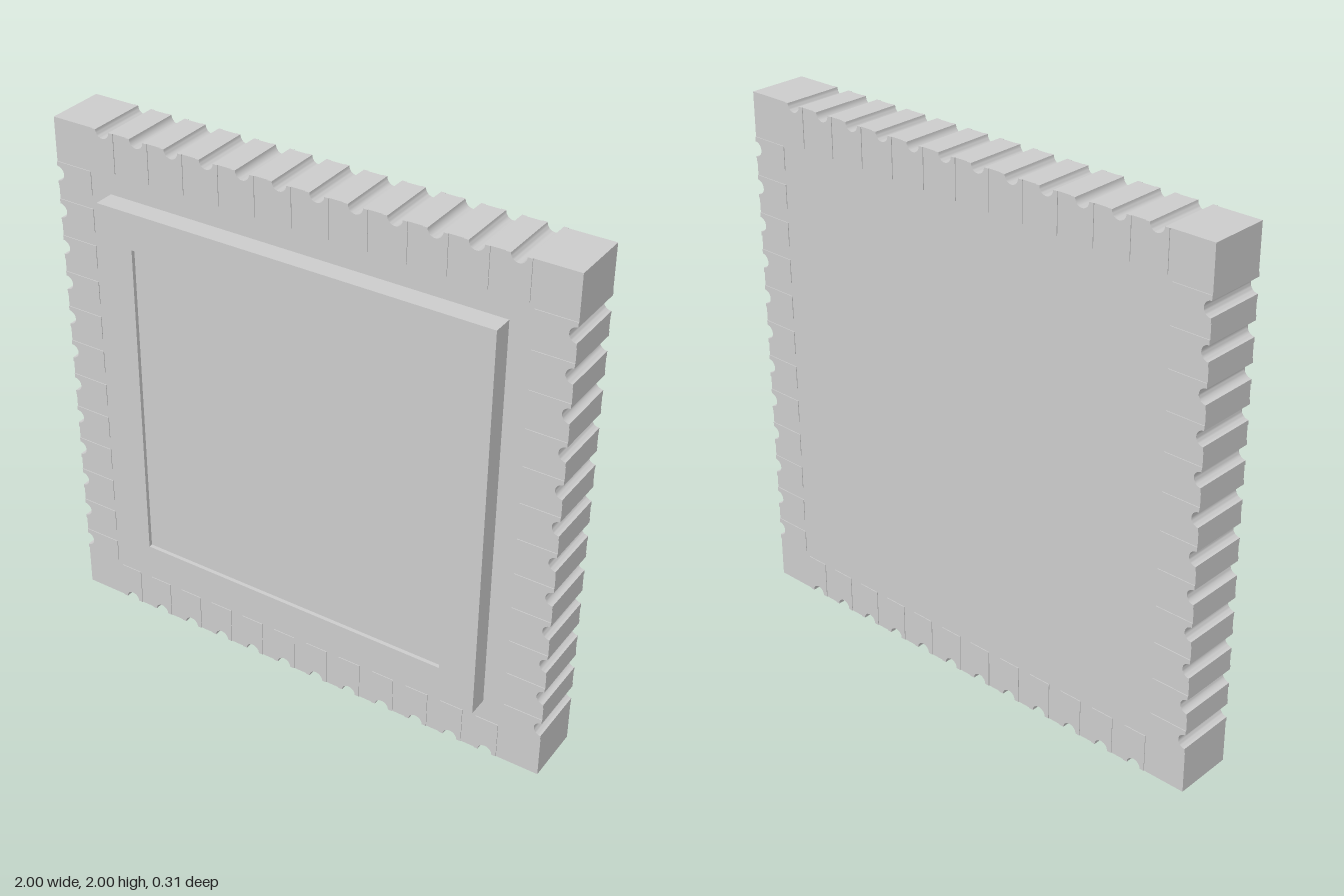
import * as THREE from 'three';
import { toCreasedNormals } from 'three/addons/utils/BufferGeometryUtils.js';

const COUNT = 12, PITCH = 0.1436, RADIUS = 0.028;
const BACK = -0.152, FRONT = 0.077, TOP = 0.155;
const PAD_LENGTH = 0.148, PAD_WIDTH = 0.09, PAD_HEIGHT = 0.003;

const material = new THREE.MeshStandardMaterial({ color: 0xcccccc });

// Half-round notch cut upward from the lower edge, left to right
function notch(cx, edgeY) {
  const points = [], steps = 14;
  for (let i = 0; i <= steps; i++) {
    const a = Math.PI * (1 - i / steps);
    points.push(new THREE.Vector2(cx + RADIUS * Math.cos(a), edgeY + RADIUS * Math.sin(a)));
  }
  return points;
}

function extrude(shape, depth, z, name) {
  const geometry = new THREE.ExtrudeGeometry(shape, { depth, bevelEnabled: false });
  const mesh = new THREE.Mesh(toCreasedNormals(geometry, 0.6), material);
  mesh.position.z = z;
  mesh.name = name;
  return mesh;
}

function square(h, Type = THREE.Shape) {
  return new Type([[-h, -h], [h, -h], [h, h], [-h, h]].map(([x, y]) => new THREE.Vector2(x, y)));
}

export function createModel() {
  const model = new THREE.Group();
  model.name = 'chipModule';
  const body = new THREE.Group();
  body.position.y = 1;
  model.add(body);

  const centres = Array.from({ length: COUNT }, (_, i) => (i - (COUNT - 1) / 2) * PITCH);

  // Board: square outline with a row of half-round notches on every side
  const side = [new THREE.Vector2(-1, -1), ...centres.flatMap((c) => notch(c, -1))];
  const outline = [];
  const origin = new THREE.Vector2();
  for (let k = 0; k < 4; k++) {
    for (const p of side) outline.push(p.clone().rotateAround(origin, k * Math.PI / 2));
  }
  body.add(extrude(new THREE.Shape(outline), FRONT - BACK, BACK, 'board'));

  // Lid: raised square rim around a shallow recessed panel
  const rim = square(0.77);
  rim.holes.push(square(0.63, THREE.Path));
  body.add(extrude(rim, TOP - FRONT, FRONT, 'lidRim'));
  const panel = new THREE.Mesh(new THREE.BoxGeometry(1.26, 1.26, 0.063), material);
  panel.position.z = FRONT + 0.0315;
  panel.name = 'lidPanel';
  body.add(panel);

  // Contact pads: thin notched strips on both faces behind every notch
  const w = PAD_WIDTH / 2;
  const padShape = new THREE.Shape([
    new THREE.Vector2(-w, 0), ...notch(0, 0), new THREE.Vector2(w, 0),
    new THREE.Vector2(w, PAD_LENGTH), new THREE.Vector2(-w, PAD_LENGTH),
  ]);
  const padSource = extrude(padShape, PAD_HEIGHT, 0, 'contactPad');
  for (let k = 0; k < 4; k++) {
    const row = new THREE.Group();
    row.name = 'contactRow';
    row.rotation.z = k * Math.PI / 2;
    for (const c of centres) {
      for (const z of [FRONT, BACK - PAD_HEIGHT]) {
        const pad = padSource.clone();
        pad.position.set(c, -1, z);
        row.add(pad);
      }
    }
    body.add(row);
  }
  return model;
}
